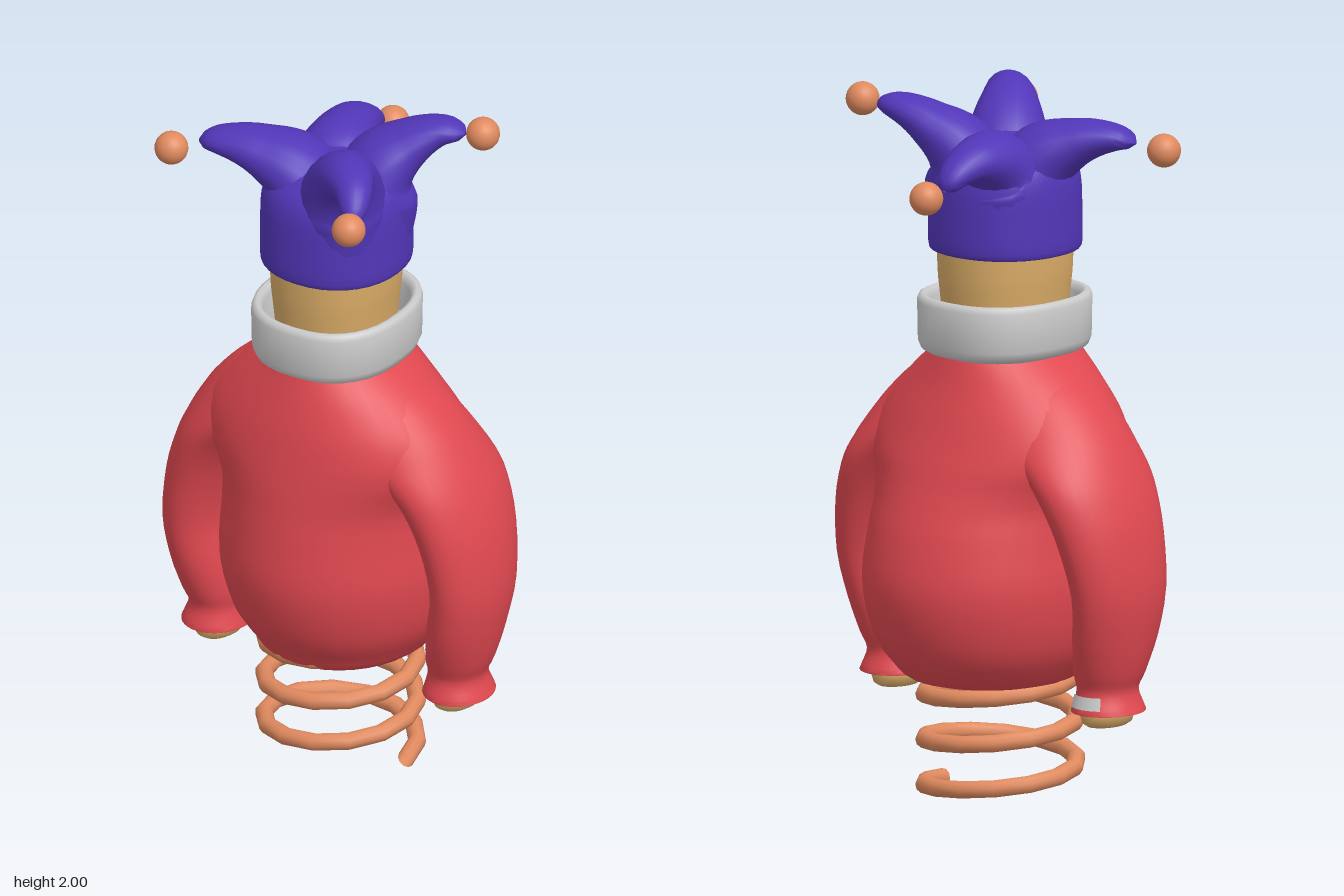
import * as THREE from 'three';
import { toCreasedNormals } from 'three/addons/utils/BufferGeometryUtils.js';

const mat = (color) => new THREE.MeshStandardMaterial({ color, side: THREE.DoubleSide });
const red = mat(0xe04850), purple = mat(0x5236b8), orange = mat(0xe08a5f);
const tan = mat(0xd9ab66), grey = mat(0xcccccc);

function add(parent, name, geometry, material) {
  const mesh = new THREE.Mesh(geometry, material);
  mesh.name = name;
  parent.add(mesh);
  return mesh;
}

// Upright skin over ellipses [y, centreX, centreZ, radiusX, radiusZ];
// steps > 1 rounds it vertically, power < 1 makes the ellipses squarer
function loft(sections, steps = 1, power = 1, sides = 36) {
  const at = (i) => sections[Math.min(Math.max(i, 0), sections.length - 1)];
  const bulge = (c) => Math.sign(c) * Math.abs(c) ** power;
  const rings = [];
  for (let i = 0; i < sections.length - 1; i++) {
    for (let s = 0; s < steps; s++) {
      const t = s / steps;
      rings.push(at(i).map((p1, k) => {
        const p0 = at(i - 1)[k], p2 = at(i + 1)[k], p3 = at(i + 2)[k];
        const m1 = (p2 - p0) / 2, m2 = (p3 - p1) / 2;
        return p1 + m1 * t + (3 * (p2 - p1) - 2 * m1 - m2) * t * t + (2 * (p1 - p2) + m1 + m2) * t ** 3;
      }));
    }
  }
  rings.push(at(sections.length));
  const pos = [], index = [];
  rings.forEach(([y, cx, cz, rx, rz], i) => {
    for (let j = 0; j < sides; j++) {
      const a = (j / sides) * Math.PI * 2;
      pos.push(cx + rx * bulge(Math.cos(a)), y, cz + rz * bulge(Math.sin(a)));
      if (i === rings.length - 1) continue;
      const p = i * sides + j, q = i * sides + ((j + 1) % sides);
      index.push(p, p + sides, q, q, p + sides, q + sides);
    }
  });
  const g = new THREE.BufferGeometry();
  g.setAttribute('position', new THREE.Float32BufferAttribute(pos, 3));
  g.setIndex(index);
  return toCreasedNormals(g, 0.9);
}

// Tapered tube for one point of the hat, growing broader sideways towards its tip
function hornGeometry(points, broad) {
  const T = 28, R = 20;
  const curve = new THREE.CatmullRomCurve3(points.map((p) => new THREE.Vector3(...p)));
  const g = new THREE.TubeGeometry(curve, T, 1, R);
  const radii = [0.12, 0.12, 0.12, 0.107, 0.088, 0.068, 0.052, 0.037, 0.004];
  const up = new THREE.Vector3(0, 1, 0);
  const pos = g.attributes.position, v = new THREE.Vector3();
  for (let k = 0; k < pos.count; k++) {
    const t = Math.floor(k / (R + 1)) / T;
    const f = t * (radii.length - 1), i = Math.min(Math.floor(f), radii.length - 2);
    // square-root falloff rounds the tip
    const u = i === radii.length - 2 ? 1 - Math.sqrt(Math.max(0, 1 - (f - i))) : f - i;
    const c = curve.getPointAt(t);
    const side = curve.getTangentAt(t).cross(up).normalize();
    v.fromBufferAttribute(pos, k).sub(c);
    v.addScaledVector(side, v.dot(side) * (broad - 1) * t);
    v.multiplyScalar(THREE.MathUtils.lerp(radii[i], radii[i + 1], u)).add(c);
    pos.setXYZ(k, v.x, v.y, v.z);
  }
  return toCreasedNormals(g, 1.2);
}

class Helix extends THREE.Curve {
  getPoint(t, target = new THREE.Vector3()) {
    const a = t * Math.PI * 2 * 3;
    return target.set(0.213 * Math.cos(a), 0.028 + 0.128 * 3 * t, -0.213 * Math.sin(a));
  }
}

export function createModel() {
  const model = new THREE.Group();
  model.name = 'springJester';

  add(model, 'spring', new THREE.TubeGeometry(new Helix(), 42, 0.025, 10), orange);

  // Pear-shaped torso, fuller at the back, widening into the shoulders above the armpits
  add(model, 'torso', loft([
    [0.365, 0, -0.02, 0, 0], [0.355, 0, -0.025, 0.2, 0.22], [0.41, 0, -0.037, 0.27, 0.29],
    [0.5, 0, -0.037, 0.32, 0.345], [0.64, 0, -0.035, 0.345, 0.377], [0.78, 0, -0.027, 0.336, 0.36],
    [0.87, 0, -0.016, 0.335, 0.338], [0.93, 0, -0.007, 0.355, 0.322], [0.99, 0, 0, 0.388, 0.306],
    [1.05, 0, 0.008, 0.395, 0.288], [1.12, 0, 0.015, 0.36, 0.268], [1.2, 0, 0.02, 0.285, 0.242],
    [1.26, 0, 0.02, 0.215, 0.224], [1.29, 0, 0.02, 0.18, 0.215],
  ], 4), red);

  for (const side of [1, -1]) {
    const arm = new THREE.Group();
    arm.name = side > 0 ? 'leftArm' : 'rightArm';
    model.add(arm);
    // Sleeve runs from the flared cuff up into the shoulder
    add(arm, 'sleeve', loft([
      [0.325, 0.395, 0.01, 0, 0], [0.325, 0.395, 0.01, 0.08, 0.09], [0.308, 0.395, 0.01, 0.098, 0.11],
      [0.325, 0.394, 0.01, 0.092, 0.106], [0.37, 0.392, 0.01, 0.08, 0.092], [0.42, 0.4, 0.01, 0.092, 0.11],
      [0.52, 0.42, 0.01, 0.098, 0.14], [0.65, 0.438, 0.005, 0.098, 0.163], [0.8, 0.413, -0.003, 0.108, 0.186],
      [0.91, 0.37, -0.006, 0.12, 0.203], [0.98, 0.32, -0.003, 0.14, 0.208], [1.05, 0.245, 0.003, 0.177, 0.202],
      [1.12, 0.195, 0.01, 0.176, 0.182], [1.2, 0.125, 0.018, 0.164, 0.165], [1.27, 0.05, 0.02, 0.13, 0.13],
    ].map(([y, cx, cz, rx, rz]) => [y, cx * side, cz, rx, rz]), 3), red);
    add(arm, 'hand', loft([
      [0.266, 0, 0, 0, 0], [0.267, 0, 0, 0.046, 0.066], [0.276, 0, 0, 0.059, 0.08],
      [0.3, 0, 0, 0.066, 0.087], [0.34, 0, 0, 0.064, 0.085],
    ]), tan).position.set(0.39 * side, 0, 0.01);
  }

  // Pale patch on the back of the right cuff
  const patch = add(model.getObjectByName('rightArm'), 'cuffPatch',
    new THREE.CylinderGeometry(0.087, 0.095, 0.035, 10, 1, true, Math.PI - 0.6, 1.2), grey);
  patch.position.set(-0.393, 0.342, 0.01);
  patch.scale.z = 1.16;

  // Hollow collar with rounded rims: outside up, over the rim, then down inside
  add(model, 'collar', loft([
    [1.275, 0, 0.018, 0.12, 0.14], [1.272, 0, 0.018, 0.19, 0.215], [1.282, 0, 0.018, 0.207, 0.232],
    [1.305, 0, 0.018, 0.216, 0.241], [1.415, 0, 0.018, 0.218, 0.243], [1.43, 0, 0.018, 0.213, 0.238],
    [1.435, 0, 0.018, 0.203, 0.228], [1.43, 0, 0.018, 0.192, 0.217], [1.41, 0, 0.018, 0.187, 0.21],
    [1.32, 0, 0.018, 0.18, 0.205], [1.31, 0, 0.018, 0, 0],
  ], 1, 0.84), grey);

  add(model, 'head', loft([
    [1.28, 0, 0.02, 0.15, 0.17], [1.43, 0, 0.02, 0.163, 0.187], [1.5, 0, 0.02, 0.17, 0.193],
    [1.6, 0, 0.02, 0.173, 0.196],
  ], 3, 0.9), tan);

  const hat = new THREE.Group();
  hat.name = 'hat';
  model.add(hat);
  add(hat, 'hatCrown', loft([
    [1.57, 0, 0.02, 0.15, 0.17], [1.558, 0, 0.02, 0.193, 0.198], [1.575, 0, 0.02, 0.205, 0.21],
    [1.66, 0, 0.02, 0.205, 0.21], [1.76, 0, 0.02, 0.202, 0.205], [1.82, 0, 0.02, 0.178, 0.178],
    [1.865, 0, 0.02, 0.11, 0.11], [1.88, 0, 0.02, 0, 0],
  ], 3, 0.92), purple);

  // Four drooping points, each with a ball hanging off its tip
  const horns = [
    { broad: 1.65, ball: [-0.42, 1.86, 0.21], path: [[-0.07, 1.64, 0.04], [-0.095, 1.8, 0.055], [-0.2, 1.87, 0.1], [-0.3, 1.89, 0.14], [-0.36, 1.88, 0.16]] },
    { broad: 1.35, ball: [-0.075, 1.77, -0.385], path: [[-0.05, 1.64, -0.045], [-0.06, 1.8, -0.08], [-0.085, 1.845, -0.19], [-0.092, 1.825, -0.28], [-0.097, 1.785, -0.335]] },
    { broad: 1.65, ball: [0.355, 1.955, -0.175], path: [[0.075, 1.64, -0.03], [0.09, 1.82, -0.055], [0.165, 1.905, -0.11], [0.24, 1.945, -0.145], [0.31, 1.95, -0.155]] },
    { broad: 1.2, ball: [0.27, 1.88, 0.38], path: [[0.06, 1.64, 0.085], [0.08, 1.82, 0.115], [0.14, 1.92, 0.19], [0.215, 1.935, 0.27], [0.265, 1.88, 0.35]] },
  ];
  for (const { ball, path, broad } of horns) {
    add(hat, 'hatPoint', hornGeometry(path, broad), purple);
    add(hat, 'hatBall', new THREE.SphereGeometry(0.047, 24, 16), orange).position.set(...ball);
  }
  return model;
}
